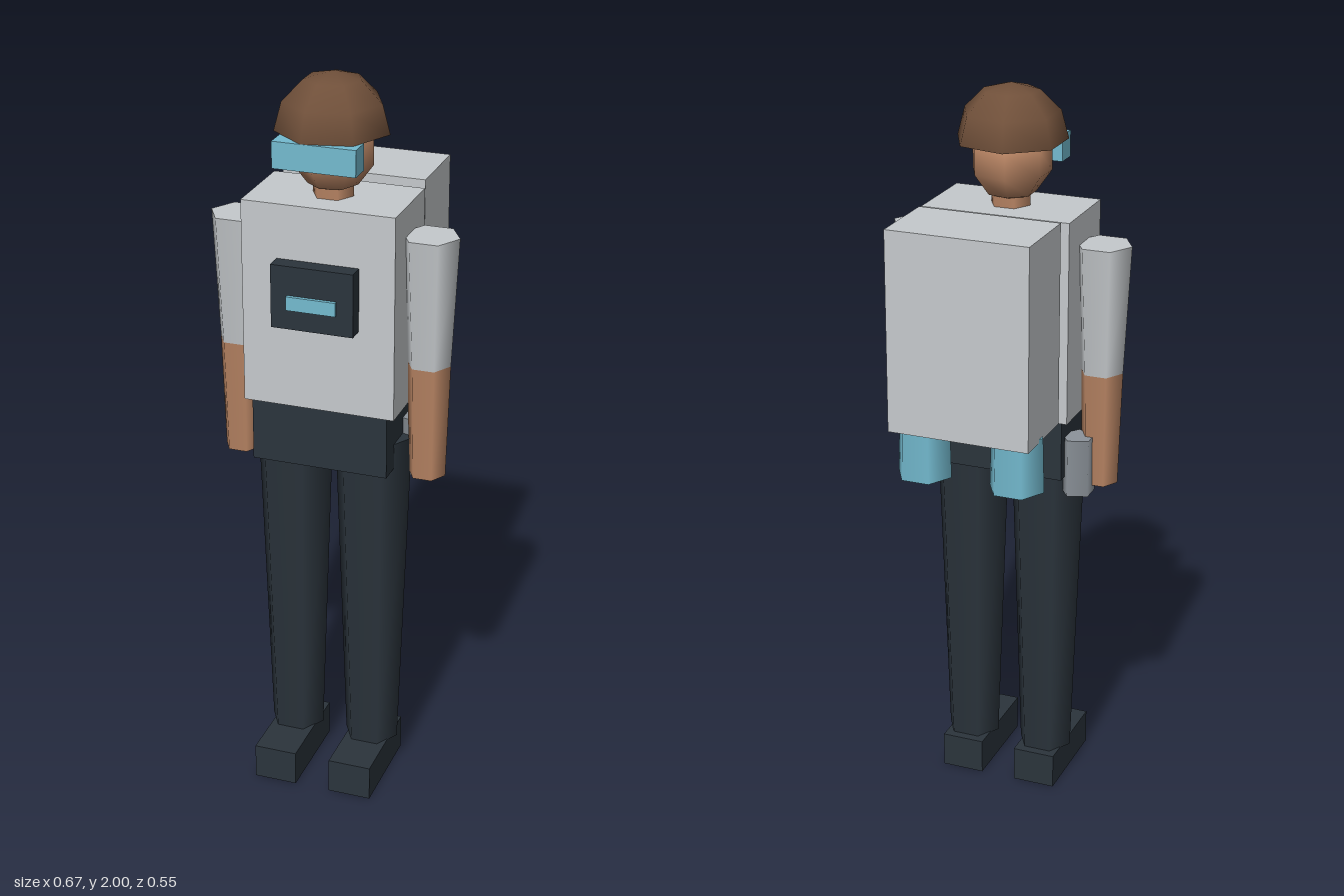
import * as THREE from 'three';

const mat = (name, color, side = THREE.FrontSide) => {
  const m = new THREE.MeshStandardMaterial({ color, side });
  m.name = name;
  return m;
};

export function createModel() {
  const group = new THREE.Group();
  const suit = mat('light grey', 0xc6cacd);
  const dark = mat('dark slate', 0x2b343c);
  const skin = mat('skin', 0xb98564);
  const brown = mat('brown', 0x70503a, THREE.DoubleSide);
  const cyan = mat('cyan', 0x74bbd0);
  const steel = mat('steel grey', 0x8d949b);

  const add = (name, geometry, material) => {
    const mesh = new THREE.Mesh(geometry, material);
    mesh.name = name;
    group.add(mesh);
  };
  // Box given by its extents on each axis
  const box = (name, material, [x0, x1], [y0, y1], [z0, z1]) =>
    add(name, new THREE.BoxGeometry(x1 - x0, y1 - y0, z1 - z0)
      .translate((x0 + x1) / 2, (y0 + y1) / 2, (z0 + z1) / 2), material);
  // Upright tapered prism with a corner towards +x
  const prism = (name, material, x, z, y0, y1, rBottom, rTop, sides = 6) =>
    add(name, new THREE.CylinderGeometry(rTop, rBottom, y1 - y0, sides)
      .rotateY(Math.PI / 2).translate(x, (y0 + y1) / 2, z), material);

  // Body
  box('torso', suit, [-0.205, 0.205], [1.13, 1.68], [-0.025, 0.21]);
  box('hips', dark, [-0.185, 0.185], [0.96, 1.13], [-0.01, 0.205]);
  box('chestPanel', dark, [-0.11, 0.11], [1.365, 1.535], [0.2, 0.255]);
  box('chestLight', cyan, [-0.066, 0.066], [1.42, 1.457], [0.25, 0.265]);

  // Head, headgear and visor
  prism('neck', skin, 0, 0.09, 1.66, 1.74, 0.055, 0.055);
  add('head', new THREE.SphereGeometry(0.113, 7, 5)
    .rotateY(Math.PI).translate(0, 1.803, 0.09), skin);
  add('helmet', new THREE.SphereGeometry(0.15, 7, 3, 0, Math.PI * 2, 0, Math.PI / 2)
    .rotateY(Math.PI).translate(0, 1.85, 0.09), brown);
  box('visor', cyan, [-0.11, 0.11], [1.78, 1.85], [0.175, 0.235]);

  // Backpack
  box('backpack', suit, [-0.195, 0.195], [1.145, 1.69], [-0.277, -0.06]);

  // Paired limbs and equipment
  for (const [side, s] of [['left', 1], ['right', -1]]) {
    prism(side + 'UpperArm', suit, s * 0.26, 0.09, 1.25, 1.6, 0.059, 0.076);
    prism(side + 'Forearm', skin, s * 0.26, 0.09, 0.935, 1.25, 0.05, 0.059);
    prism(side + 'Leg', dark, s * 0.11, 0.09, 0.095, 1.03, 0.075, 0.107);
    const shoeX = s > 0 ? [0.049, 0.168] : [-0.168, -0.049];
    box(side + 'Shoe', dark, shoeX, [0, 0.098], [0, 0.277]);
    prism(side + 'Thruster', cyan, s * 0.13, -0.19, 1.003, 1.155, 0.076, 0.072);
    prism(side + 'HipCanister', steel, s * 0.215, 0.04, 0.915, 1.075, 0.047, 0.047, 5);
  }
  return group;
}
